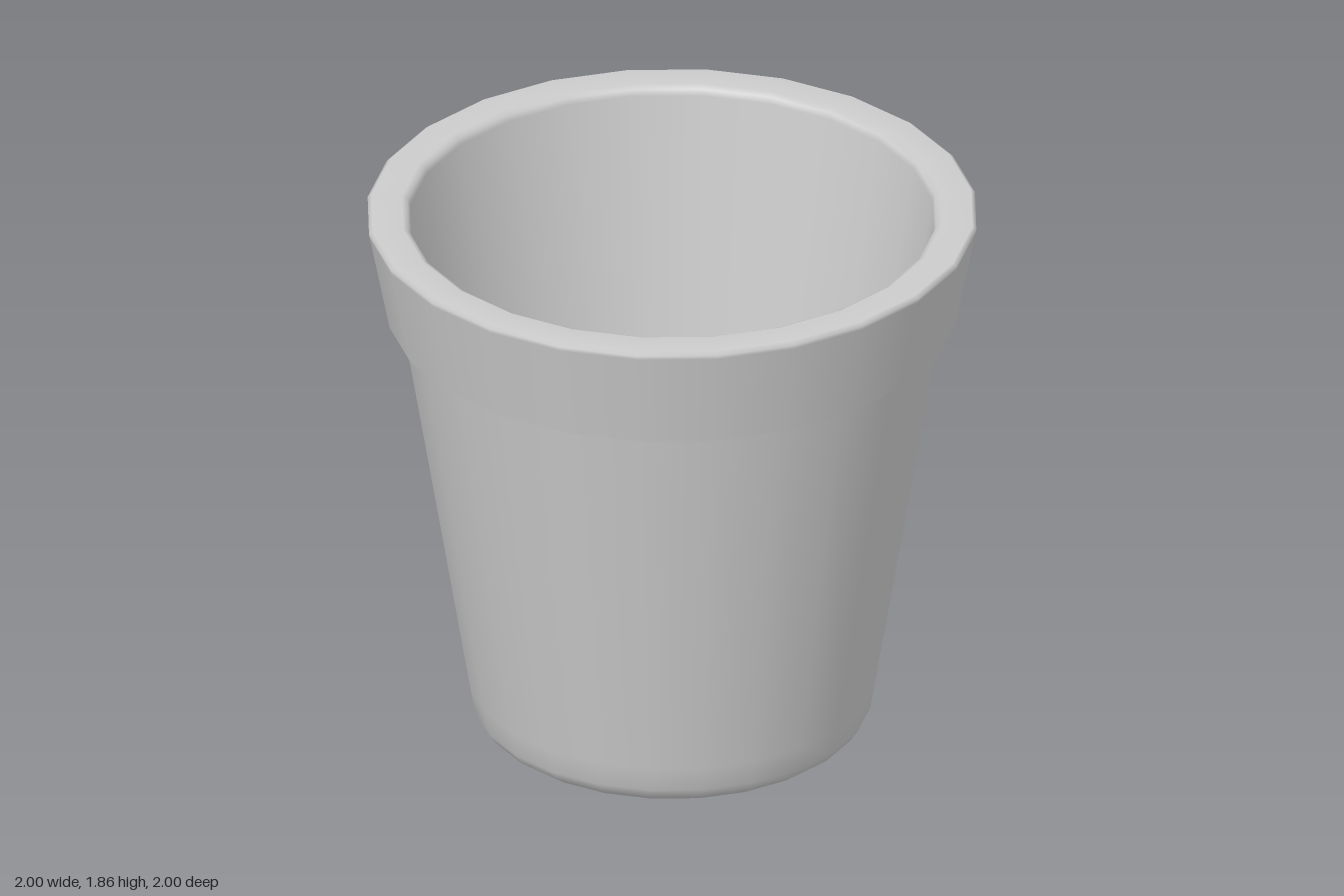
import * as THREE from 'three';

const SIDES = 24;
const material = new THREE.MeshStandardMaterial({ color: 0xcccccc });

// Each part is its own lathe, so edges between parts stay sharp
function turned(name, profile) {
  const points = profile.map(([r, y]) => new THREE.Vector2(r, y));
  const mesh = new THREE.Mesh(new THREE.LatheGeometry(points, SIDES), material);
  mesh.name = name;
  return mesh;
}

export function createModel() {
  const pot = new THREE.Group();
  pot.name = 'flowerPot';

  pot.add(
    // Underside, rounded foot and tapered outer wall
    turned('outerWall', [
      [0, 0], [0.56, 0], [0.595, 0.005], [0.625, 0.027], [0.65, 0.065],
      [0.664, 0.15], [0.885, 1.5],
    ]),
    // Flat lip under the collar
    turned('collarUnderside', [[0.885, 1.5], [0.93, 1.5]]),
    // Flared collar, softened rim and inner wall
    turned('collarAndInnerWall', [
      [0.93, 1.5], [0.995, 1.835], [0.998, 1.85], [0.985, 1.86],
      [0.885, 1.86], [0.866, 1.85], [0.858, 1.83], [0.58, 0.15],
    ]),
    // Inside floor
    turned('innerFloor', [[0.58, 0.15], [0, 0.15]]),
  );
  return pot;
}
